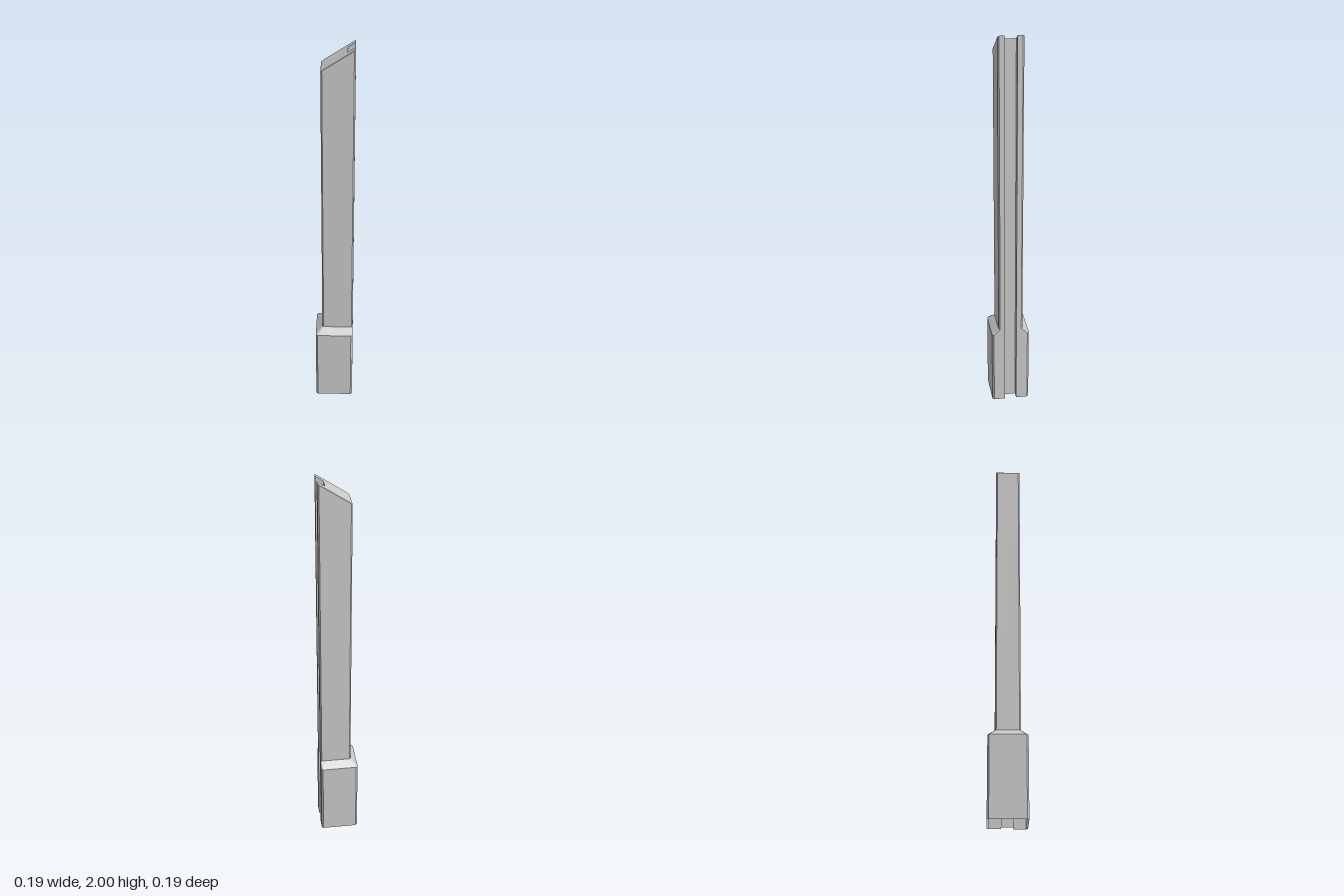
import * as THREE from 'three';

const FRONT = 0.0975;                 // flush grooved side (+x)
const GROOVE_X = 0.06, GROOVE_Z = 0.03;

// Chamfered, grooved cross-section; heightAt(x) gives each corner's height
function ring(back, half, chamfer, heightAt) {
  const c = chamfer;
  return [
    [back, -half + c], [back, half - c], [back + c, half],
    [FRONT - c, half], [FRONT, half - c],
    [FRONT, GROOVE_Z], [GROOVE_X, GROOVE_Z], [GROOVE_X, -GROOVE_Z], [FRONT, -GROOVE_Z],
    [FRONT, -half + c], [FRONT - c, -half], [back + c, -half],
  ].map(([x, z]) => new THREE.Vector3(x, heightAt(x), z));
}

function facetGeometry(points) {
  const geometry = new THREE.BufferGeometry().setFromPoints(points);
  geometry.computeVertexNormals();
  return geometry;
}

// Wall between two rings
function loft(a, b) {
  const points = [];
  a.forEach((p, i) => {
    const j = (i + 1) % a.length;
    points.push(p, a[j], b[j], p, b[j], b[i]);
  });
  return facetGeometry(points);
}

// Upward-facing lid on a ring
function cap(r) {
  const outline = r.map((p) => new THREE.Vector2(p.x, -p.z));
  const faces = THREE.ShapeUtils.triangulateShape(outline, []);
  return facetGeometry(faces.flat().map((i) => r[i]));
}

export function createModel() {
  const group = new THREE.Group();
  group.name = 'groovedPost';
  const material = new THREE.MeshStandardMaterial({
    color: 0xcccccc, flatShading: true, side: THREE.DoubleSide,
  });
  const add = (name, geometry) => {
    const mesh = new THREE.Mesh(geometry, material);
    mesh.name = name;
    group.add(mesh);
  };

  const slope = (x) => 2 - 0.66 * (FRONT - x);
  const foot = ring(-0.0975, 0.0975, 0.009, () => 0);
  const sleeveTop = ring(-0.0975, 0.0975, 0.009, () => 0.405);
  const shaftFoot = ring(-0.0635, 0.0625, 0.007, () => 0.438);
  const shaftTop = ring(-0.0635, 0.0625, 0.007, (x) => slope(x) - 0.002);
  const lidEdge = ring(-0.057, 0.0605, 0.006, slope);

  // Open-bottomed sleeve, sloping shoulder, shaft and slanted top
  add('baseSleeve', loft(foot, sleeveTop));
  add('shoulder', loft(sleeveTop, shaftFoot));
  add('shaft', loft(shaftFoot, shaftTop));
  add('topBevel', loft(shaftTop, lidEdge));
  add('slantedTop', cap(lidEdge));
  return group;
}
